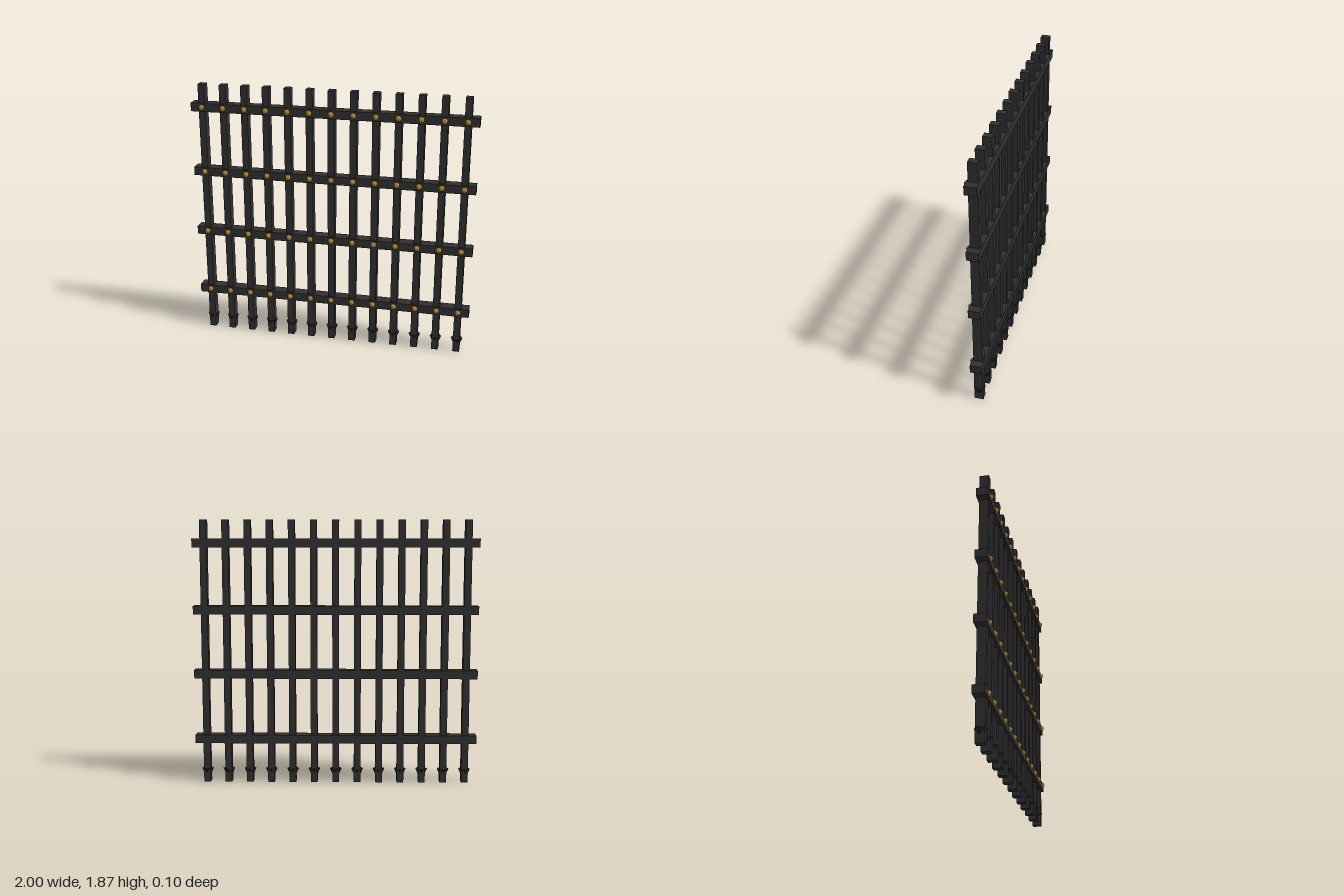
import * as THREE from 'three';

const iron = new THREE.MeshStandardMaterial({ color: 0x303030 });
iron.name = 'dark iron';
const tipIron = new THREE.MeshStandardMaterial({ color: 0x242424, flatShading: true });
tipIron.name = 'black iron tips';
const brass = new THREE.MeshStandardMaterial({ color: 0xb08030 });
brass.name = 'brass';

const BARS = 13;
const SPACING = 0.1536;
const HEIGHT = 1.867;
const MID_Z = -0.0095; // shared centre plane of bars and rails
const RAIL_FRONT = 0.031;
const RAIL_Y = [0.315, 0.783, 1.237, 1.705];

export function createModel() {
  const gate = new THREE.Group();
  gate.name = 'portcullis';

  const add = (name, geometry, material, x, y, z) => {
    const mesh = new THREE.Mesh(geometry, material);
    mesh.name = name;
    mesh.position.set(x, y, z);
    gate.add(mesh);
    return mesh;
  };

  const barGeo = new THREE.BoxGeometry(0.048, HEIGHT, 0.062);
  const railGeo = new THREE.BoxGeometry(2, 0.06, 0.081);
  const studGeo = new THREE.SphereGeometry(0.021, 8, 6);
  const tipGeo = new THREE.ConeGeometry(0.042, 0.095, 8).rotateX(Math.PI);

  // Horizontal rails
  RAIL_Y.forEach((y) => add('rail', railGeo, iron, 0, y, MID_Z));

  // Upright bars, each with a flared point and a stud on every rail
  for (let i = 0; i < BARS; i++) {
    const x = (i - (BARS - 1) / 2) * SPACING;
    add('bar', barGeo, iron, x, HEIGHT / 2, MID_Z);
    add('spikeTip', tipGeo, tipIron, x, 0.0475, MID_Z);
    RAIL_Y.forEach((y) => add('stud', studGeo, brass, x, y, RAIL_FRONT));
  }
  return gate;
}
